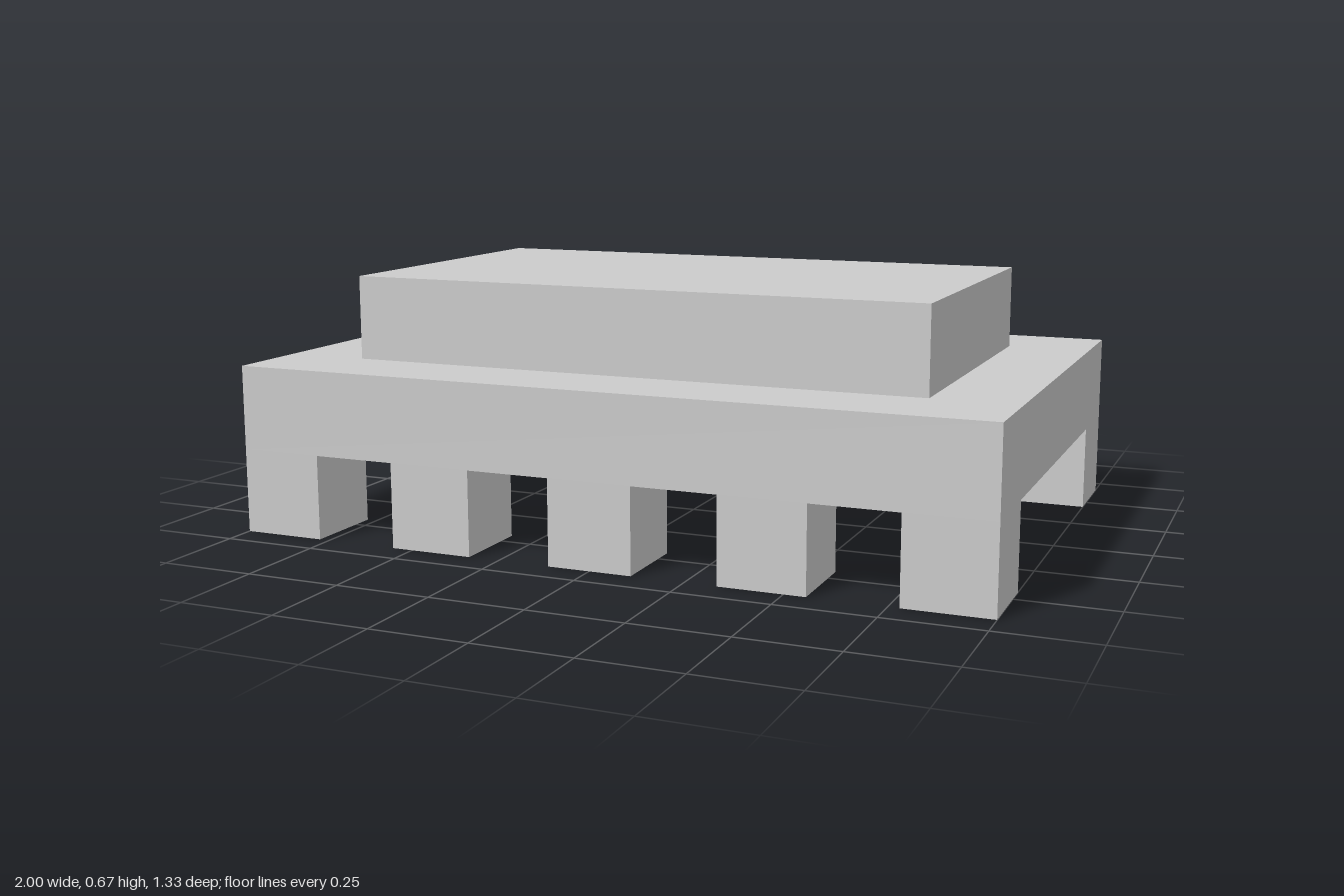
import * as THREE from 'three';

// Everything sits on a cubic grid: the slab is 9 x 1 x 6 cells.
const U = 2 / 9;

export function createModel() {
  const group = new THREE.Group();
  const material = new THREE.MeshStandardMaterial({ color: 0xcccccc, flatShading: true });

  // Box sized and placed in grid cells; y is its underside.
  const block = (name, w, h, d, x, y, z) => {
    const mesh = new THREE.Mesh(new THREE.BoxGeometry(w * U, h * U, d * U), material);
    mesh.name = name;
    mesh.position.set(x * U, (y + h / 2) * U, z * U);
    group.add(mesh);
  };

  // Main slab and the smaller raised block on top
  block('slab', 9, 1, 6, 0, 1, 0);
  block('raisedTop', 7, 1, 4, 0, 2, 0);

  // Two rows of five cubic legs along the front and back edges
  for (const [row, z] of [['front', 2.5], ['back', -2.5]]) {
    for (let i = 0; i < 5; i++) {
      block(`${row}Leg${i + 1}`, 1, 1, 1, -4 + 2 * i, 0, z);
    }
  }

  return group;
}
